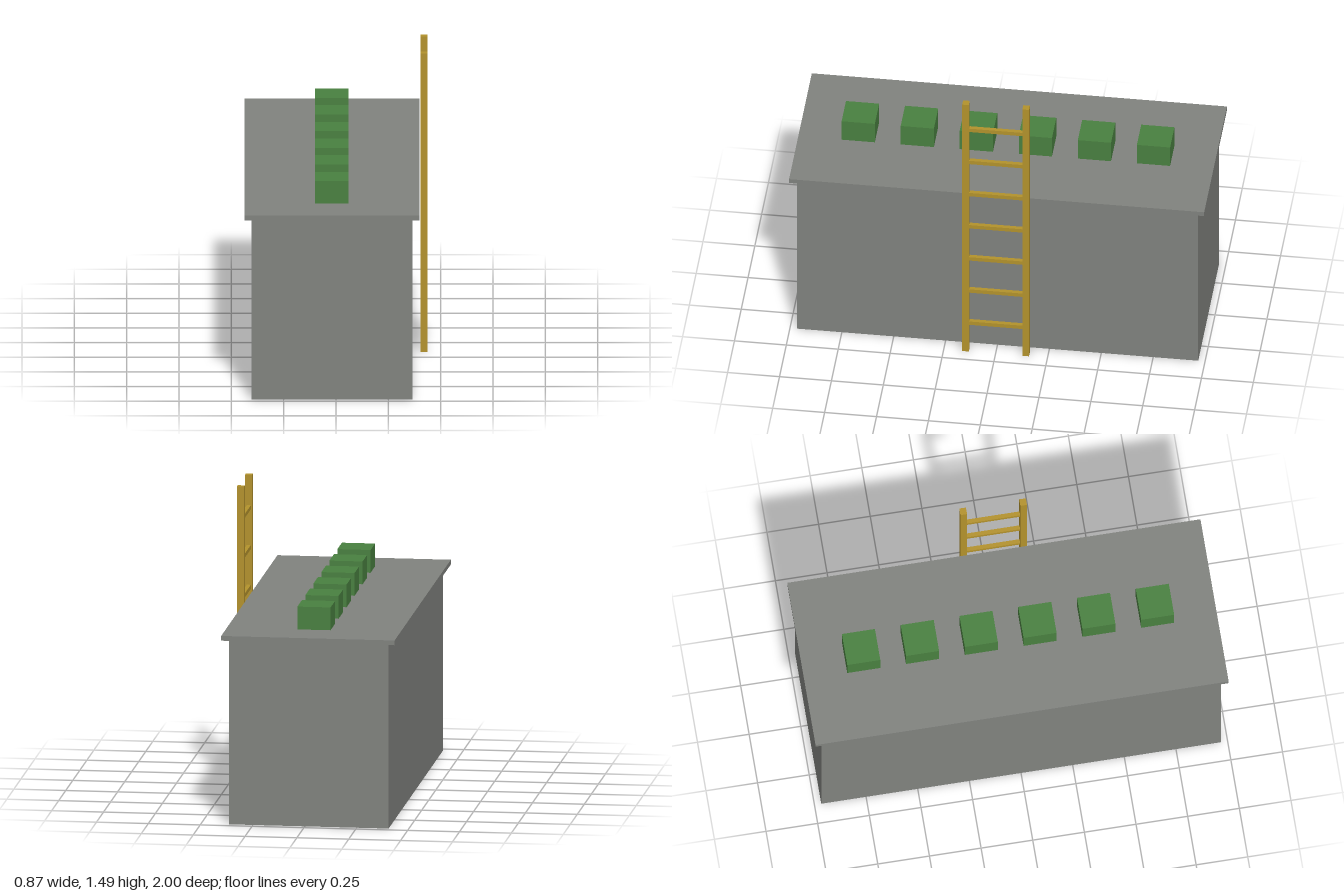
import * as THREE from 'three';

export function createModel() {
  const model = new THREE.Group();
  model.name = 'flatRoofBuilding';

  const material = (name, color) => {
    const m = new THREE.MeshStandardMaterial({ color });
    m.name = name;
    return m;
  };
  const grey = material('concreteGrey', 0x80827e);
  const green = material('boxGreen', 0x498040);
  const gold = material('ladderGold', 0xb3922c);

  // Box given by its minimum and maximum on each axis
  const addBox = (parent, name, mat, [x0, x1], [y0, y1], [z0, z1]) => {
    const mesh = new THREE.Mesh(new THREE.BoxGeometry(x1 - x0, y1 - y0, z1 - z0), mat);
    mesh.position.set((x0 + x1) / 2, (y0 + y1) / 2, (z0 + z1) / 2);
    mesh.name = name;
    parent.add(mesh);
  };

  // Main block with an overhanging roof slab
  addBox(model, 'buildingBody', grey, [-0.404, 0.366], [0, 0.9], [-0.967, 0.967]);
  addBox(model, 'roofSlab', grey, [-0.437, 0.399], [0.9, 0.923], [-1, 1]);

  // Row of six boxes along the roof
  const boxes = new THREE.Group();
  boxes.name = 'roofBoxes';
  model.add(boxes);
  for (let i = 0; i < 6; i++) {
    const z = (i - 2.5) * 0.2845;
    addBox(boxes, 'roofBox', green, [-0.1, 0.06], [0.923, 1.034], [z - 0.08, z + 0.08]);
  }

  // Ladder: two rails and seven rungs
  const ladder = new THREE.Group();
  ladder.name = 'ladder';
  model.add(ladder);
  for (const side of [-1, 1]) {
    const z = side * 0.145;
    addBox(ladder, 'ladderRail', gold, [0.403, 0.437], [0, 1.485], [z - 0.016, z + 0.016]);
  }
  for (let i = 0; i < 7; i++) {
    const y = 0.165 + i * 0.1937;
    addBox(ladder, 'ladderRung', gold, [0.409, 0.429], [y - 0.01, y + 0.01], [-0.13, 0.13]);
  }

  return model;
}
